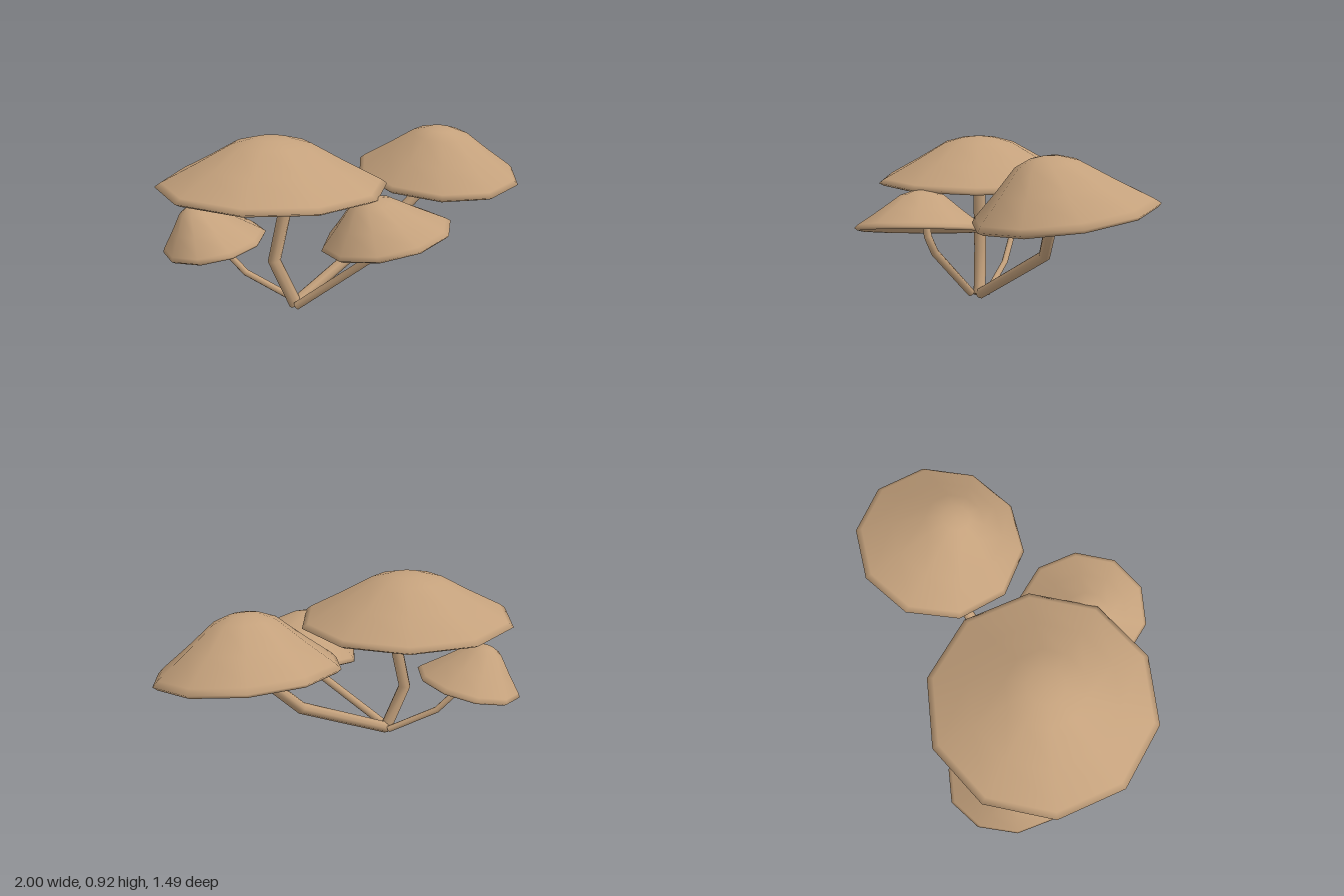
import * as THREE from 'three';
import { mergeVertices } from 'three/addons/utils/BufferGeometryUtils.js';

const tan = new THREE.MeshStandardMaterial({ color: 0xc4a17c, side: THREE.DoubleSide });
tan.name = 'mushroom tan';

// Hollow cap outline, from the inner crown to the lip and up to the outer crown
const profile = [
  [0, 0.8], [0.32, 0.66], [0.64, 0.27], [0.93, -0.03], [0.95, -0.05],
  [1, 0.01], [0.945, 0.1], [0.64, 0.47], [0.34, 0.86], [0.16, 0.97], [0, 1],
].map(([r, h]) => new THREE.Vector2(r, h));

// Ten-sided cap: the rim is tilted by a slope and the crown is pushed sideways
function makeCap({ centre, radius, height, slope, shift, turn = 0 }) {
  let geo = new THREE.LatheGeometry(profile, 10, Math.PI / 2 + turn);
  geo.deleteAttribute('uv');
  geo.deleteAttribute('normal');
  geo = mergeVertices(geo, 1e-4);
  const p = geo.attributes.position;
  for (let i = 0; i < p.count; i++) {
    const h = p.getY(i);
    const x = p.getX(i) * radius[0];
    const z = p.getZ(i) * radius[1];
    p.setXYZ(i,
      centre[0] + x + shift[0] * h,
      centre[1] + h * height + slope[0] * x + slope[1] * z,
      centre[2] + z + shift[1] * h);
  }
  geo.computeVertexNormals();
  return new THREE.Mesh(geo, tan);
}

// Bent stem with one ring of vertices at each point, closed at both ends
function makeStem(points, radius) {
  const group = new THREE.Group();
  const pts = points.map((q) => new THREE.Vector3(...q));
  const curve = new THREE.CatmullRomCurve3(pts);
  curve.getPointAt = (t, target) => curve.getPoint(t, target);
  curve.getTangentAt = (t, target) => curve.getTangent(t, target);
  const tube = new THREE.Mesh(new THREE.TubeGeometry(curve, pts.length - 1, radius, 8), tan);
  tube.name = 'stemTube';
  group.add(tube);
  for (const t of [0, 1]) {
    const end = new THREE.Mesh(new THREE.CircleGeometry(radius, 8), tan);
    end.name = t ? 'stemTop' : 'stemBase';
    end.position.copy(curve.getPoint(t));
    end.lookAt(end.position.clone().addScaledVector(curve.getTangent(t), t ? 1 : -1));
    group.add(end);
  }
  return group;
}

const mushrooms = [
  {
    name: 'tallMushroom',
    cap: { centre: [-0.415, 0.668, 0.12], radius: [0.585, 0.585], height: 0.252, slope: [-0.02, 0], shift: [0, 0.01] },
    stem: [[-0.31, 0.025, 0.125], [-0.417, 0.27, 0.125], [-0.358, 0.53, 0.125], [-0.385, 0.78, 0.125]],
    thickness: 0.034,
  },
  {
    name: 'leftMushroom',
    cap: { centre: [0.54, 0.608, -0.31], radius: [0.46, 0.445], height: 0.27, slope: [-0.04, -0.14], shift: [-0.01, 0.1], turn: 0.14 },
    stem: [[-0.31, 0.03, 0.12], [0.26, 0.355, -0.225], [0.46, 0.545, -0.25], [0.53, 0.68, -0.23]],
    thickness: 0.031,
  },
  {
    name: 'frontMushroom',
    cap: { centre: [0.115, 0.465, 0.405], radius: [0.32, 0.35], height: 0.195, slope: [0.2, 0], shift: [-0.09, 0] },
    stem: [[-0.31, 0.035, 0.175], [0.045, 0.33, 0.345], [0.073, 0.42, 0.378], [0.045, 0.53, 0.395]],
    thickness: 0.022,
  },
  {
    name: 'rightMushroom',
    cap: { centre: [-0.715, 0.328, -0.06], radius: [0.27, 0.338], height: 0.205, slope: [0.17, 0], shift: [-0.1, 0] },
    stem: [[-0.31, 0.035, 0.08], [-0.56, 0.165, -0.015], [-0.69, 0.31, -0.058], [-0.76, 0.42, -0.065]],
    thickness: 0.018,
  },
];

export function createModel() {
  const model = new THREE.Group();
  model.name = 'mushroomCluster';
  for (const { name, cap, stem, thickness } of mushrooms) {
    const mushroom = new THREE.Group();
    mushroom.name = name;
    const capMesh = makeCap(cap);
    capMesh.name = 'cap';
    const stemGroup = makeStem(stem, thickness);
    stemGroup.name = 'stem';
    mushroom.add(capMesh, stemGroup);
    model.add(mushroom);
  }
  return model;
}
